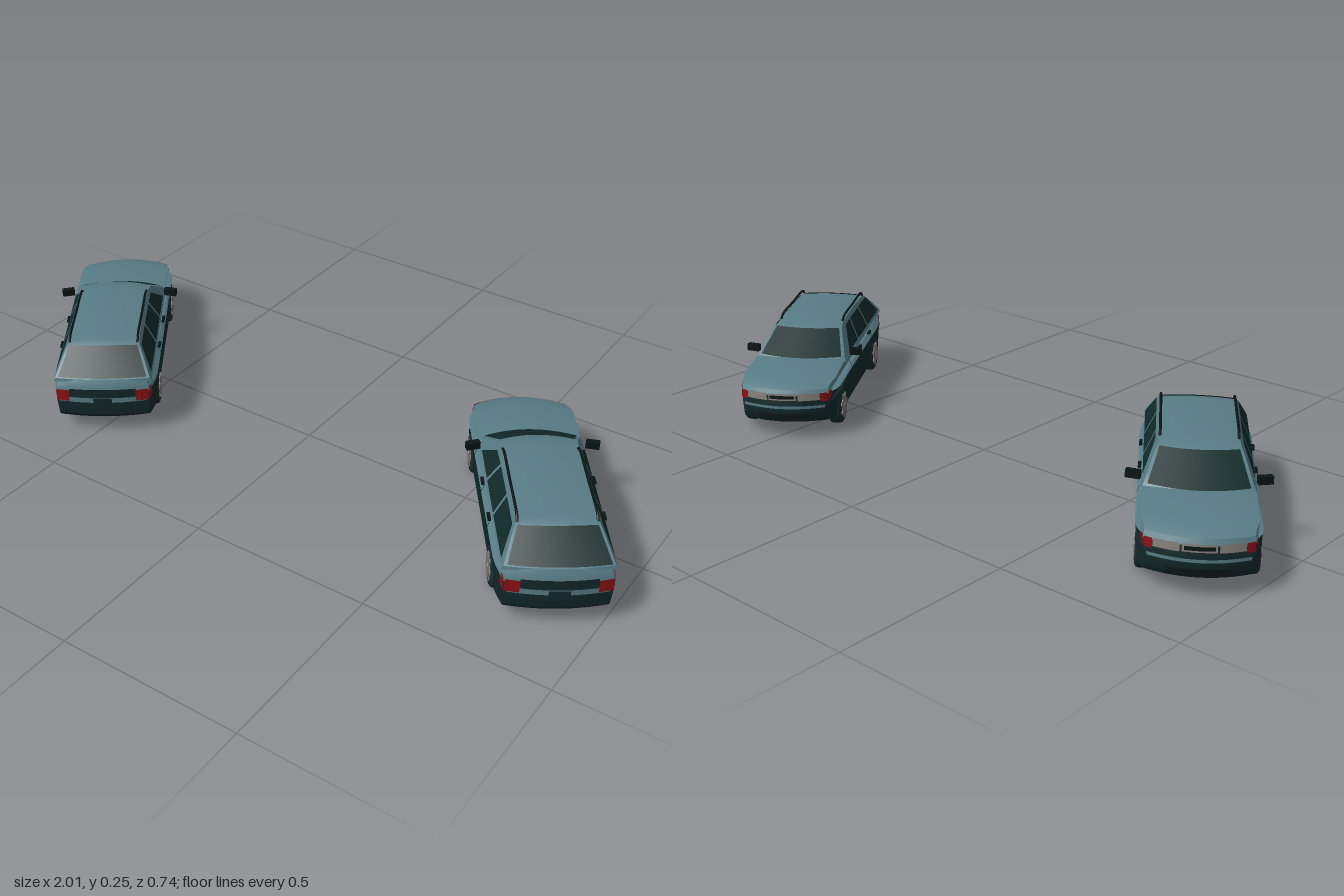
import * as THREE from 'three';
import { toCreasedNormals } from 'three/addons/utils/BufferGeometryUtils.js';

const mat = (name, color, side = THREE.FrontSide) => {
  const m = new THREE.MeshStandardMaterial({ color, side });
  m.name = name;
  return m;
};
const clamp = (v) => Math.min(1, Math.max(0, v));

// Local car frame: nose towards -z. Each map takes t (-1..1 across), w (along), y (up).
const endTaper = (w) => 1 - 0.14 * clamp((-0.29 - w) / 0.095) - 0.1 * clamp((w - 0.29) / 0.09);
const bodyHalf = (w, y) =>
  endTaper(w) * (y < 0.127 ? 0.137 + 0.08 * (y - 0.04) : 0.144 - 0.28 * (y - 0.127));
function bodyMap(t, w, y) {
  const u = t * bodyHalf(w, y);
  const bend = 2.2 * clamp((-0.3 - w) / 0.07) - 1.0 * clamp((w - 0.3) / 0.07);
  return [u, y - 0.008 * t * t * clamp((y - 0.138) / 0.02), w + bend * u * u];
}
const cabinHalf = (y) => 0.131 - 0.47 * (y - 0.163);
function cabinMap(t, w, y) {
  const u = t * cabinHalf(y);
  const bend = 2.0 * clamp((0.02 - w) / 0.08) - 0.7 * clamp((w - 0.24) / 0.04);
  return [u, y - 0.005 * t * t * clamp((y - 0.224) / 0.008), w + bend * u * u];
}

// Side profile stretched across the car, then shaped by one of the maps
function shell(shape, map, steps = 12) {
  const pts = shape.getPoints(14), dense = [];
  pts.forEach((p, i) => {
    const q = pts[(i + 1) % pts.length];
    const n = Math.max(1, Math.ceil(p.distanceTo(q) / 0.035));
    for (let k = 0; k < n; k++) dense.push(p.clone().lerp(q, k / n));
  });
  const g = new THREE.ExtrudeGeometry(new THREE.Shape(dense), { depth: 1, steps, bevelEnabled: false });
  const a = g.attributes.position;
  for (let i = 0; i < a.count; i++) {
    a.setXYZ(i, ...map(1 - 2 * a.getZ(i), a.getX(i), a.getY(i)));
  }
  return toCreasedNormals(g, 0.6);
}

// Thin curved plate across the car between two profile points [w, y]
function plate(map, low, high, t0, t1, offset) {
  const n = 12, pos = [], index = [];
  for (let i = 0; i <= n; i++) {
    const t = t0 + ((t1 - t0) * i) / n;
    for (const [w, y] of [low, high]) {
      const p = map(t, w, y);
      pos.push(p[0], p[1] + offset[0], p[2] + offset[1]);
    }
    if (i < n) {
      const a = 2 * i;
      index.push(a, a + 1, a + 2, a + 1, a + 3, a + 2);
    }
  }
  return surface(pos, index);
}

// Four-cornered plate lying on the side of the car; corners are [w, y]
function sidePlate(map, corners, side, offset = 0.002) {
  const pos = corners.flatMap(([w, y]) => {
    const p = map(side, w, y);
    return [p[0] + side * offset, p[1], p[2]];
  });
  return surface(pos, [0, 1, 2, 0, 2, 3]);
}
function surface(pos, index) {
  const g = new THREE.BufferGeometry();
  g.setAttribute('position', new THREE.Float32BufferAttribute(pos, 3));
  g.setIndex(index);
  g.computeVertexNormals();
  return g;
}

export function createModel() {
  const paint = mat('blue grey paint', 0x587c86, THREE.DoubleSide);
  const lower = mat('dark lower paint', 0x12282a, THREE.DoubleSide);
  const glass = mat('dark glass', 0x112a2a, THREE.DoubleSide);
  const tyre = mat('tyre rubber', 0x1a2c2c);
  const rim = mat('grey rim', 0x7d7777);
  const red = mat('red lamp', 0x8c1216, THREE.DoubleSide);
  const lamp = mat('pale lamp', 0x8b8580, THREE.DoubleSide);
  const black = mat('black trim', 0x0b1414, THREE.DoubleSide);

  const car = new THREE.Group();
  const add = (name, geometry, material, x = 0, y = 0, z = 0) => {
    const m = new THREE.Mesh(geometry, material);
    m.name = name;
    m.position.set(x, y, z);
    car.add(m);
    return m;
  };
  const polygon = (list) => new THREE.Shape(list.map((p) => new THREE.Vector2(...p)));
  const axles = [-0.24, 0.222];

  // Lower body with wheel arches
  const low = new THREE.Shape();
  low.moveTo(-0.376, 0.047);
  for (const w of axles) {
    low.lineTo(w - 0.06, 0.038);
    low.absarc(w, 0.054, 0.061, Math.PI + 0.26, -0.26, true);
  }
  [[0.368, 0.046], [0.38, 0.06], [0.383, 0.1], [0.378, 0.127], [-0.383, 0.127], [-0.389, 0.095], [-0.387, 0.062]]
    .forEach((p) => low.lineTo(...p));
  add('lowerBody', shell(low, bodyMap), lower);
  add('underbody', new THREE.BoxGeometry(0.2, 0.08, 0.66), black, 0, 0.082, -0.005);

  // Bonnet, shoulders and tailgate base
  add('upperBody', shell(polygon([
    [-0.383, 0.127], [0.378, 0.127], [0.376, 0.145], [0.366, 0.165], [-0.16, 0.17],
    [-0.24, 0.168], [-0.31, 0.161], [-0.355, 0.152], [-0.376, 0.142],
  ]), bodyMap), paint);

  // Cabin and roof
  add('cabin', shell(polygon([
    [-0.19, 0.155], [0.366, 0.155], [0.364, 0.164], [0.287, 0.228], [0.265, 0.235], [0.15, 0.239],
    [0.04, 0.239], [-0.04, 0.235], [-0.075, 0.226], [-0.182, 0.168],
  ]), cabinMap), paint);
  add('windscreen', plate(cabinMap, [-0.182, 0.168], [-0.075, 0.226], -0.93, 0.93, [0.002, -0.002]), glass);
  add('rearWindow', plate(cabinMap, [0.362, 0.166], [0.287, 0.228], -0.94, 0.94, [0.002, 0.002]), glass);

  // Tail details
  const tail = (name, y0, y1, t0, t1, m, w = 0.383, off = 0.002) =>
    add(name, plate(bodyMap, [w, y0], [w, y1], t0, t1, [0, off]), m);
  tail('tailPanel', 0.118, 0.141, -0.72, 0.72, lower, 0.378);
  tail('tailgateBand', 0.102, 0.117, -0.95, 0.95, paint);
  tail('plateRecess', 0.103, 0.116, -0.2, 0.2, lower, 0.383, 0.004);

  // Nose details
  const nose = (name, y0, y1, t0, t1, m, w = -0.387) =>
    add(name, plate(bodyMap, [w, y0], [w, y1], t0, t1, [0, -0.002]), m);
  nose('grille', 0.114, 0.134, -0.32, 0.32, lamp);
  nose('grilleSlot', 0.119, 0.129, -0.28, 0.28, black, -0.389);
  nose('bumperBand', 0.09, 0.098, -0.95, 0.95, paint, -0.389);
  nose('bumperIntake', 0.056, 0.074, -0.6, 0.6, black, -0.389);

  for (const s of [-1, 1]) {
    // Side windows
    const panes = [
      ['frontDoorWindow', [[0.022, 0.167], [-0.128, 0.168], [-0.03, 0.224], [0.04, 0.226]]],
      ['rearDoorWindow', [[0.159, 0.166], [0.032, 0.167], [0.05, 0.226], [0.16, 0.226]]],
      ['quarterWindow', [[0.338, 0.166], [0.169, 0.166], [0.17, 0.226], [0.282, 0.225]]],
    ];
    for (const [name, c] of panes) add(name, sidePlate(cabinMap, c, s, 0.003), glass);

    // Door seams and handles
    for (const w of [-0.13, 0.026, 0.165]) {
      add('doorSeam', sidePlate(bodyMap, [[w, 0.127], [w + 0.003, 0.127], [w + 0.003, 0.16], [w, 0.16]], s), black);
    }
    for (const w of [0.007, 0.15]) {
      add('doorHandle', new THREE.BoxGeometry(0.008, 0.006, 0.028), black, s * 0.14, 0.147, w);
    }

    // Lamps, wrapping round the corners
    tail('tailLamp', 0.104, 0.139, s * 0.72, s, red, 0.381, 0.004);
    add('tailLampSide', sidePlate(bodyMap, [[0.352, 0.106], [0.382, 0.104], [0.38, 0.138], [0.358, 0.138]], s), red);
    nose('headlamp', 0.113, 0.134, s * 0.36, s * 0.84, lamp);
    nose('indicator', 0.108, 0.133, s * 0.85, s, red);
    add('indicatorSide', sidePlate(bodyMap, [[-0.36, 0.108], [-0.386, 0.108], [-0.384, 0.133], [-0.36, 0.133]], s), red);

    // Roof rail
    const path = new THREE.CatmullRomCurve3([[0.275, 0.232], [0.26, 0.241], [0.13, 0.243], [0.01, 0.242], [-0.01, 0.234]]
      .map(([w, y]) => new THREE.Vector3(s * 0.094, y, w)));
    add('roofRail', new THREE.TubeGeometry(path, 24, 0.0035, 6), black);

    // Door mirror
    const mirror = add('mirror', new THREE.BoxGeometry(0.036, 0.02, 0.016), black, s * 0.154, 0.174, -0.11);
    mirror.rotation.y = -s * 0.25;

    // Wheels with notched rims
    const star = [];
    for (let i = 0; i < 28; i++) {
      const r = i % 4 < 2 ? 0.037 : 0.028, a = (i / 28) * Math.PI * 2;
      star.push([r * Math.cos(a), r * Math.sin(a)]);
    }
    for (const w of axles) {
      const tread = new THREE.LatheGeometry([[0, -0.019], [0.046, -0.019], [0.052, -0.015], [0.054, -0.008],
        [0.054, 0.008], [0.052, 0.015], [0.046, 0.019], [0, 0.019]].map((p) => new THREE.Vector2(...p)), 28);
      add('tyre', toCreasedNormals(tread, 0.7), tyre, s * 0.123, 0.054, w).rotation.z = Math.PI / 2;
      const face = new THREE.ExtrudeGeometry(polygon(star), { depth: 0.003, bevelEnabled: false });
      add('rim', face, rim, s * 0.1415, 0.054, w).rotation.y = s * Math.PI / 2;
      const cap = new THREE.CylinderGeometry(0.006, 0.008, 0.003, 12);
      add('hubCap', cap, rim, s * 0.1455, 0.054, w).rotation.z = -s * Math.PI / 2;
    }
  }

  // Two matching cars parked side by side at an angle
  const model = new THREE.Group();
  model.name = 'parkedCars';
  for (const [name, x] of [['rightCar', -0.697], ['leftCar', 0.697]]) {
    const c = car.clone();
    c.name = name;
    c.position.x = x;
    c.rotation.y = 0.61;
    model.add(c);
  }
  return model;
}
